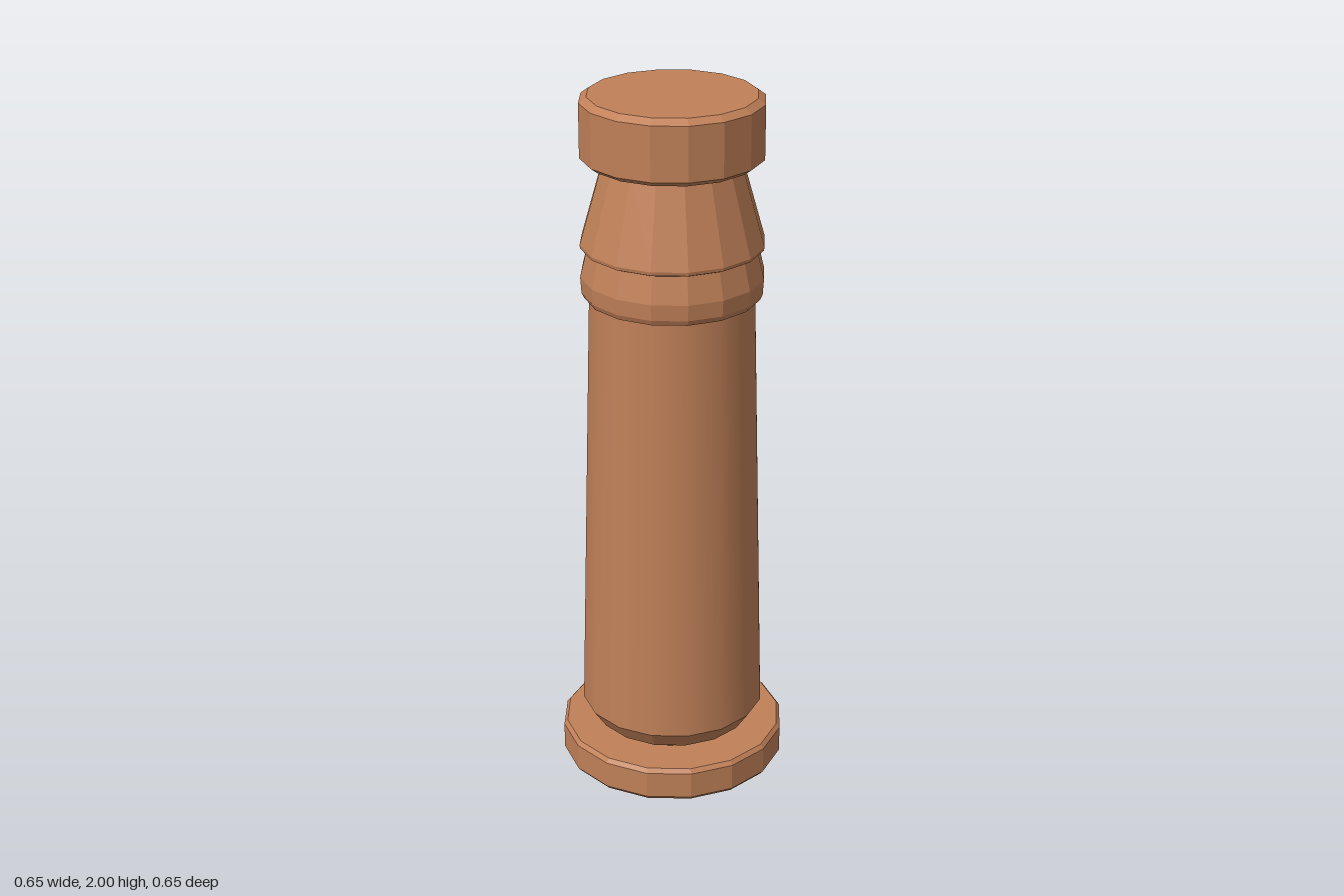
import * as THREE from 'three';

const SIDES = 16;

export function createModel() {
  const group = new THREE.Group();
  group.name = 'terracottaColumn';
  const terracotta = new THREE.MeshStandardMaterial({ color: 0xc08058 });
  terracotta.name = 'terracotta';

  // Turned part from a [radius, y] profile, bottom to top; faceted unless smooth
  function turned(name, profile, smooth = false) {
    let geometry = new THREE.LatheGeometry(
      profile.map(([r, y]) => new THREE.Vector2(r, y)), SIDES);
    if (!smooth) {
      geometry = geometry.toNonIndexed();
      geometry.computeVertexNormals();
    }
    const mesh = new THREE.Mesh(geometry, terracotta);
    mesh.name = name;
    group.add(mesh);
  }

  // Round plinth with softened edges
  turned('basePlate', [
    [0, 0], [0.315, 0], [0.325, 0.012], [0.325, 0.09], [0.315, 0.102], [0, 0.102],
  ]);

  // Bevelled foot under the shaft
  turned('foot', [[0.19, 0.1], [0.205, 0.11], [0.228, 0.125], [0.265, 0.18]]);

  // Long tapering shaft
  turned('shaft', [[0.265, 0.18], [0.23, 1.44]], true);

  // Bulging collar ring
  turned('collar', [
    [0.22, 1.437], [0.243, 1.44], [0.25, 1.455], [0.253, 1.5], [0.235, 1.575],
  ]);

  // Flared neck with a small lip at its lower edge
  turned('neck', [[0.235, 1.575], [0.251, 1.582], [0.253, 1.592], [0.187, 1.825]]);

  // Flat cap with bevelled rims
  turned('cap', [
    [0, 1.82], [0.23, 1.82], [0.25, 1.835], [0.25, 1.985], [0.229, 2], [0, 2],
  ]);

  return group;
}
